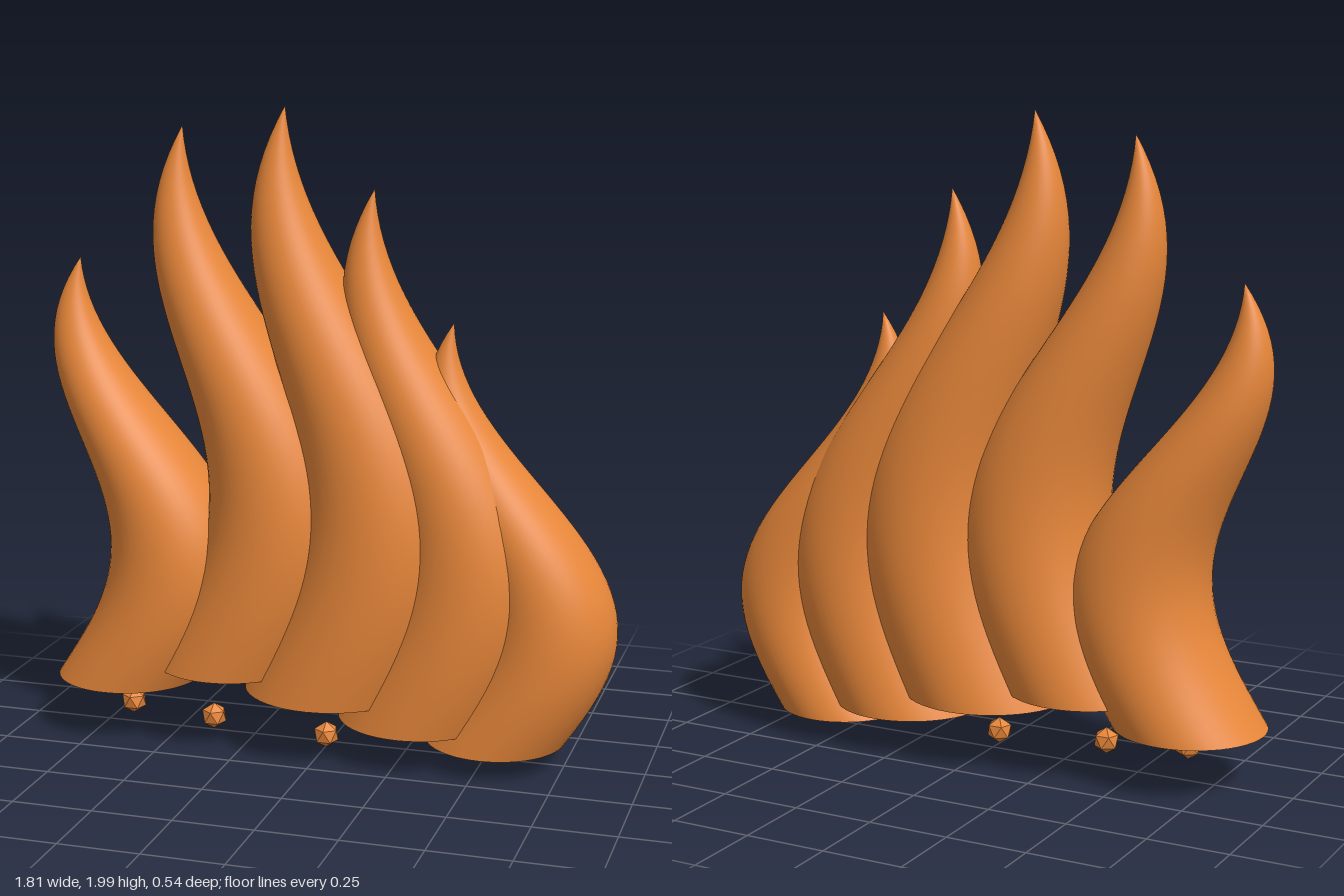
import * as THREE from 'three';
import { mergeVertices } from 'three/addons/utils/BufferGeometryUtils.js';

const SWAY = 0.168;

// Round, open-based flame whose centre line sways sideways in a sine wave
function flameGeometry(radius, height) {
  const profile = [];
  for (let i = 0; i <= 40; i++) {
    const t = i / 40;
    profile.push(new THREE.Vector2(radius * (1 - Math.pow(t, 2.2)), t * height));
  }
  let geometry = new THREE.LatheGeometry(profile, 48);
  geometry.deleteAttribute('uv');
  geometry.deleteAttribute('normal');
  geometry = mergeVertices(geometry, 1e-5);
  const pos = geometry.attributes.position;
  for (let i = 0; i < pos.count; i++) {
    const t = pos.getY(i) / height;
    pos.setX(i, pos.getX(i) + SWAY * Math.sin((t * Math.PI * 2) / 1.2));
  }
  geometry.computeVertexNormals();
  return geometry;
}

export function createModel() {
  const group = new THREE.Group();
  const orange = new THREE.MeshStandardMaterial({ color: 0xe8873a, side: THREE.DoubleSide });
  orange.name = 'flame orange';
  const cream = new THREE.MeshStandardMaterial({ color: 0xe0c98c, side: THREE.DoubleSide });
  cream.name = 'core cream';

  function add(name, geometry, material, x, y, z = 0) {
    const mesh = new THREE.Mesh(geometry, material);
    mesh.name = name;
    mesh.position.set(x, y, z);
    group.add(mesh);
  }

  // Row of flames: base x, base y, tip y, radius
  const flames = [
    [-0.668, 0.18, 1.52, 0.234],
    [-0.323, 0.25, 1.935, 0.247],
    [0.005, 0.197, 2, 0.272],
    [0.285, 0.127, 1.76, 0.247],
    [0.533, 0.077, 1.367, 0.216],
  ];
  flames.forEach(([x, base, tip, r], i) => add(`flame${i + 1}`, flameGeometry(r, tip - base), orange, x, base));

  // Small pale flame at the heart of the row
  add('innerFlame', flameGeometry(0.125, 0.77), cream, -0.045, 0.187, 0.05);

  // Embers under the flames, each standing on a corner
  const embers = [[-0.643, 0.098], [-0.37, 0.073], [0.003, 0.049], [0.277, 0.098], [0.573, 0.118]];
  const emberGeometry = new THREE.IcosahedronGeometry(0.042, 0);
  emberGeometry.rotateX(-Math.atan((1 + Math.sqrt(5)) / 2));
  embers.forEach(([x, y], i) => add(`ember${i + 1}`, emberGeometry, orange, x, y, 0.05));

  return group;
}
